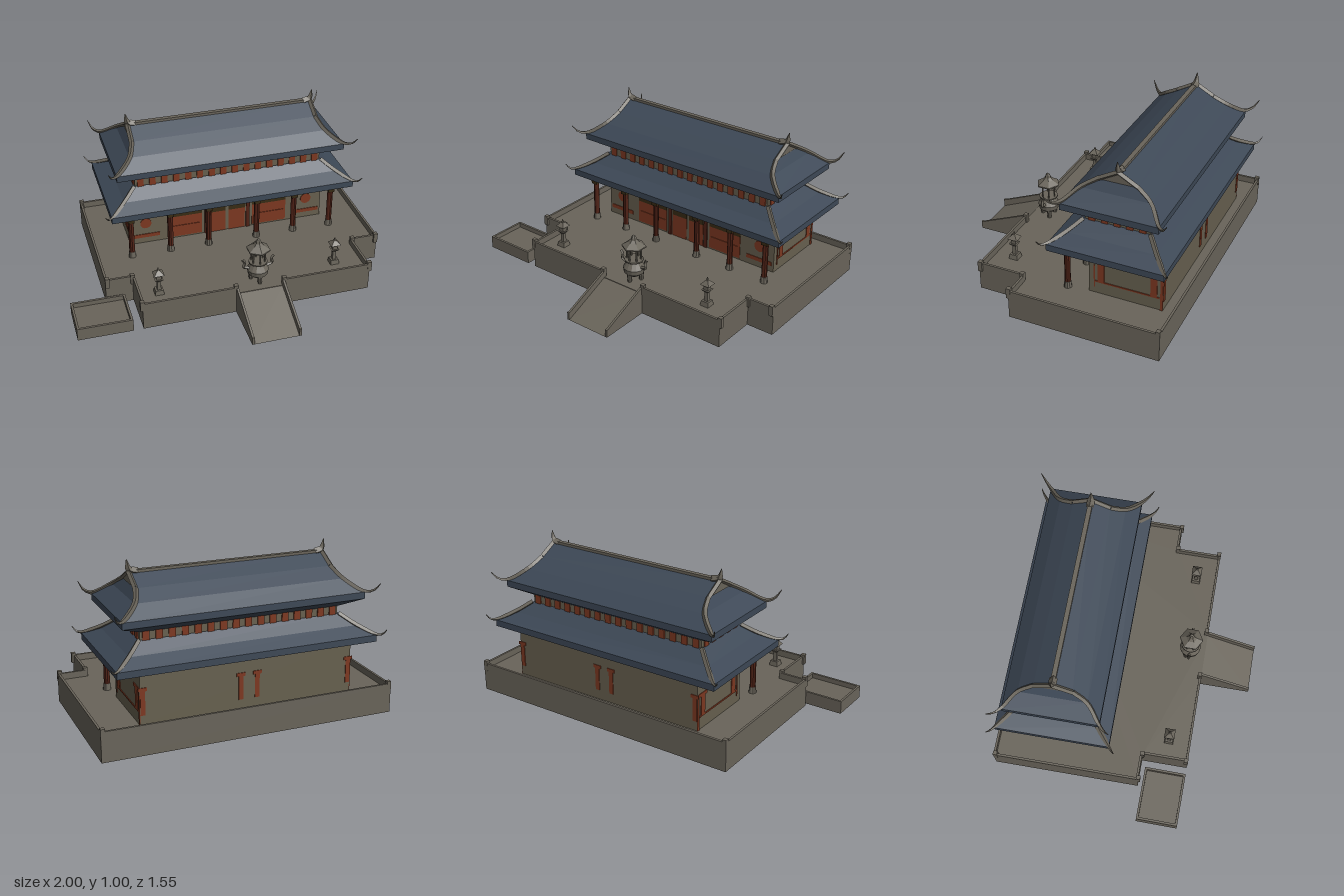
import * as THREE from 'three';

const mat = (name, color, side = THREE.FrontSide) =>
  Object.assign(new THREE.MeshStandardMaterial({ color, side, flatShading: true }), { name });
const stone = mat('stone', 0x69645a);
const wallMat = mat('plaster', 0x67604f);
const slate = mat('slate tile', 0x3d4856);
const red = mat('painted red', 0x7d3821);
const darkRed = mat('column red', 0x4f2216);
const brown = mat('dark timber', 0x382b14);

const CX = 0.105, CZ = -0.385; // centre of the hall

function add(parent, name, geo, material, x = 0, y = 0, z = 0) {
  const m = new THREE.Mesh(geo, material);
  m.name = name;
  m.position.set(x, y, z);
  parent.add(m);
  return m;
}
// Box given by its lower and upper limits
function box(parent, name, material, x0, x1, y0, y1, z0, z1) {
  return add(parent, name, new THREE.BoxGeometry(x1 - x0, y1 - y0, z1 - z0), material,
    (x0 + x1) / 2, (y0 + y1) / 2, (z0 + z1) / 2);
}
// Flat-sided skin through rectangular rings [halfX, y, halfZ], bottom to top
function ringLoft(rings) {
  const pos = [], S = [[1, 1], [1, -1], [-1, -1], [-1, 1]];
  const p = (r, k) => [r[0] * S[k % 4][0], r[1], r[2] * S[k % 4][1]];
  for (let i = 0; i < rings.length - 1; i++) for (let k = 0; k < 4; k++) {
    const a = p(rings[i], k), b = p(rings[i], k + 1), c = p(rings[i + 1], k + 1), d = p(rings[i + 1], k);
    pos.push(...a, ...b, ...c, ...a, ...c, ...d);
  }
  const g = new THREE.BufferGeometry();
  g.setAttribute('position', new THREE.Float32BufferAttribute(pos, 3));
  g.computeVertexNormals();
  return g;
}
// Square bar along a curve, narrowing towards its end after the fraction "from"
function taperBar(points, r0, r1, from = 0, n = 14) {
  const curve = new THREE.CatmullRomCurve3(points.map(q => new THREE.Vector3(...q)));
  const g = new THREE.TubeGeometry(curve, n, r0, 4);
  const P = g.attributes.position, v = new THREE.Vector3();
  for (let i = 0; i < P.count; i++) {
    const t = Math.floor(i / 5) / n, c = curve.getPointAt(t);
    const s = 1 + (r1 / r0 - 1) * Math.max(0, (t - from) / (1 - from));
    v.fromBufferAttribute(P, i).sub(c).multiplyScalar(s).add(c);
    P.setXYZ(i, v.x, v.y, v.z);
  }
  return g;
}

function buildTerrace(g) {
  const outline = [[-0.778, -0.761], [0.997, -0.761], [0.997, 0.16], [0.826, 0.16], [0.826, 0.448],
    [0.27, 0.448], [-0.035, 0.448], [-0.61, 0.448], [-0.61, 0.16], [-0.778, 0.16]];
  const shape = new THREE.Shape(outline.map(([x, z]) => new THREE.Vector2(x, -z)));
  const floor = add(g, 'terraceFloor', new THREE.ExtrudeGeometry(shape, { depth: 0.01, bevelEnabled: false }), stone, 0, 0.13, 0);
  floor.rotation.x = -Math.PI / 2;
  // Retaining walls rising into a low parapet, open at the ramp
  const T = 0.014;
  outline.forEach(([x, z], i) => {
    const [x2, z2] = outline[(i + 1) % outline.length];
    const dx = Math.sign(x2 - x), dz = Math.sign(z2 - z), nx = -dz * T, nz = dx * T;
    box(g, 'terraceWall', stone, Math.min(x, x2, x + nx), Math.max(x, x2, x + nx), 0, i === 5 ? 0.14 : 0.18,
      Math.min(z, z2, z + nz), Math.max(z, z2, z + nz));
    const px = Math.min(Math.max(x, -0.766), 0.985), pz = Math.min(Math.max(z, -0.749), 0.437);
    box(g, 'parapetPost', stone, px - 0.013, px + 0.013, 0.13, 0.195, pz - 0.013, pz + 0.013);
  });
  // Ramp with cheek walls
  const prism = (name, pts, x0, x1) => {
    const s = new THREE.Shape(pts.map(([z, y]) => new THREE.Vector2(-z, y)));
    const m = add(g, name, new THREE.ExtrudeGeometry(s, { depth: x1 - x0, bevelEnabled: false }), stone, x0, 0, 0);
    m.rotation.y = Math.PI / 2;
  };
  prism('ramp', [[0.44, 0], [0.768, 0], [0.44, 0.14]], -0.03, 0.265);
  for (const x of [-0.035, 0.256])
    prism('rampCheek', [[0.44, 0], [0.768, 0], [0.768, 0.05], [0.755, 0.05], [0.44, 0.182]], x, x + 0.014);
}

function buildBasin(g) {
  const [x0, x1, z0, z1] = [-1, -0.665, 0.195, 0.455], t = 0.014;
  for (const x of [x0, x1 - t]) box(g, 'basinSide', stone, x, x + t, 0, 0.08, z0, z1);
  for (const z of [z0, z1 - t]) box(g, 'basinEnd', stone, x0, x1, 0, 0.08, z, z + t);
  box(g, 'basinFloor', stone, x0, x1, 0.04, 0.05, z0, z1);
}

function buildHall(g) {
  const hx = 0.645, zf = -0.23, zb = -0.68;
  box(g, 'hallWalls', wallMat, CX - hx, CX + hx, 0.14, 0.46, zb, zf);
  // Porch columns on stone feet, with timber heads
  for (const s of [-1, 1]) for (const o of [0.16, 0.41, 0.66]) {
    const x = CX + s * o;
    add(g, 'porchColumn', new THREE.CylinderGeometry(0.018, 0.018, 0.31, 10), darkRed, x, 0.3, -0.102);
    add(g, 'columnFoot', new THREE.CylinderGeometry(0.02, 0.024, 0.04, 10), stone, x, 0.16, -0.102);
    box(g, 'columnHead', brown, x - 0.02, x + 0.02, 0.4, 0.455, -0.125, -0.079);
  }
  // Front screens, doors and round windows
  const F = zf, E = 0.004;
  for (const s of [-1, 1]) {
    const c = CX + s * 0.285;
    box(g, 'screenPanel', red, c - 0.115, c + 0.115, 0.15, 0.3, F, F + E);
    box(g, 'screenLattice', brown, c - 0.115, c + 0.115, 0.3, 0.365, F, F + E);
    box(g, 'screenBorder', red, c - 0.1, c + 0.1, 0.225, 0.232, F + E, F + 2 * E);
    const w = add(g, 'roundWindow', new THREE.CylinderGeometry(0.036, 0.036, E, 20), red, CX + s * 0.54, 0.285, F + E / 2);
    w.rotation.x = Math.PI / 2;
    box(g, 'wallSkirting', red, CX + s * 0.54 - 0.09, CX + s * 0.54 + 0.09, 0.18, 0.205, F, F + E);
    box(g, 'doorLeaf', red, CX + s * 0.065 - 0.055, CX + s * 0.065 + 0.055, 0.14, 0.29, F, F + E);
    box(g, 'doorLattice', brown, CX + s * 0.065 - 0.055, CX + s * 0.065 + 0.055, 0.29, 0.36, F, F + E);
    box(g, 'doorPost', darkRed, CX + s * 0.14 - 0.012, CX + s * 0.14 + 0.012, 0.14, 0.43, F, F + 0.009);
  }
  // Side wall posts with capitals and rails
  for (const s of [-1, 1]) {
    const a = CX + s * hx, b = a + s * E, lo = Math.min(a, b), hi = Math.max(a, b);
    for (const z of [-0.305, -0.625]) {
      box(g, 'sidePost', red, lo, hi, 0.22, 0.34, z - 0.02, z + 0.02);
      box(g, 'sideCapital', red, lo, hi, 0.34, 0.36, z - 0.043, z + 0.043);
    }
    box(g, 'sideRail', red, lo, hi, 0.215, 0.224, -0.66, -0.265);
    box(g, 'sideStile', red, lo, hi, 0.18, 0.33, -0.268, -0.261);
    box(g, 'sideCornerPost', red, lo, hi, 0.14, 0.34, -0.68, -0.664);
  }
  // Back wall posts
  for (const o of [-0.63, -0.05, 0.05, 0.63]) {
    box(g, 'backPost', red, CX + o - 0.014, CX + o + 0.014, 0.2, 0.34, zb - E, zb);
    box(g, 'backCapital', red, CX + o - 0.026, CX + o + 0.026, 0.34, 0.36, zb - E, zb);
  }
  // Upper storey with bracket bands
  const ux = 0.605, uz = 0.195;
  box(g, 'upperWalls', wallMat, CX - ux, CX + ux, 0.57, 0.66, CZ - uz, CZ + uz);
  for (const s of [-1, 1]) {
    for (let i = 0; i < 16; i++) {
      const x = CX - 0.57 + i * 0.076;
      box(g, 'upperBracket', red, x - 0.02, x + 0.02, 0.59, 0.646, CZ + s * (uz + 0.003) - 0.004, CZ + s * (uz + 0.003) + 0.004);
    }
    for (let i = 0; i < 5; i++) {
      const z = CZ - 0.152 + i * 0.076;
      box(g, 'upperSideBracket', red, CX + s * (ux + 0.003) - 0.004, CX + s * (ux + 0.003) + 0.004, 0.59, 0.646, z - 0.02, z + 0.02);
    }
  }
}

function buildRoofs(g) {
  const roof = new THREE.Group();
  roof.name = 'roofs';
  roof.position.set(CX, 0, CZ);
  g.add(roof);
  add(roof, 'lowerRoof', ringLoft([[0.6, 0.44, 0.19], [0.785, 0.448, 0.35], [0.785, 0.488, 0.35],
    [0.69, 0.535, 0.268], [0.612, 0.595, 0.2], [0.58, 0.6, 0.17]]), slate);
  add(roof, 'upperRoof', ringLoft([[0.605, 0.642, 0.195], [0.73, 0.698, 0.29], [0.73, 0.738, 0.29],
    [0.63, 0.808, 0.205], [0.595, 0.865, 0.115], [0.595, 0.93, 0]]), slate);
  box(roof, 'mainRidge', stone, -0.6, 0.6, 0.91, 0.938, -0.014, 0.014);
  for (const sx of [-1, 1]) {
    // Ridge horn and gable board
    add(roof, 'ridgeHorn', taperBar([[0.55 * sx, 0.925, 0], [0.592 * sx, 0.94, 0], [0.607 * sx, 1, 0]], 0.024, 0.002, 0.3), stone);
    const tri = new THREE.Shape([[-0.112, 0.866], [0.112, 0.866], [0, 0.932]].map(p => new THREE.Vector2(...p)));
    const board = add(roof, 'gableBoard', new THREE.ExtrudeGeometry(tri, { depth: 0.008, bevelEnabled: false }), stone,
      sx > 0 ? 0.593 : -0.601, 0, 0);
    board.rotation.y = Math.PI / 2;
    for (const sz of [-1, 1]) {
      // Hip ridges sweeping out into upturned corners
      add(roof, 'gableRidge', taperBar([[0.596 * sx, 0.93, 0], [0.597 * sx, 0.867, 0.115 * sz]], 0.015, 0.015, 0, 2), stone);
      add(roof, 'upperHip', taperBar([[0.595, 0.867, 0.115], [0.63, 0.811, 0.205], [0.725, 0.745, 0.287],
        [0.765, 0.755, 0.326], [0.79, 0.8, 0.358]].map(([x, y, z]) => [x * sx, y, z * sz]), 0.015, 0.002, 0.6), stone);
      add(roof, 'lowerHip', taperBar([[0.612, 0.598, 0.2], [0.69, 0.54, 0.268], [0.775, 0.495, 0.343],
        [0.808, 0.495, 0.37], [0.83, 0.525, 0.387]].map(([x, y, z]) => [x * sx, y, z * sz]), 0.015, 0.002, 0.6), stone);
    }
  }
}

function buildBurner(g) {
  const b = new THREE.Group();
  b.name = 'incenseBurner';
  b.position.set(0.13, 0, 0.347);
  g.add(b);
  const lathe = (pts, n) => new THREE.LatheGeometry(pts.map(p => new THREE.Vector2(...p)), n);
  add(b, 'bowl', lathe([[0, 0.17], [0.035, 0.172], [0.062, 0.195], [0.067, 0.225], [0.05, 0.252],
    [0.044, 0.262], [0.058, 0.272], [0.058, 0.28], [0, 0.28]], 14), stone);
  add(b, 'canopy', lathe([[0, 0.365], [0.074, 0.362], [0.074, 0.37], [0.035, 0.395], [0.02, 0.41],
    [0.016, 0.425], [0.008, 0.437], [0, 0.442]], 6), stone);
  for (let i = 0; i < 6; i++) {
    const a = i * Math.PI / 3;
    add(b, 'canopyPost', new THREE.CylinderGeometry(0.005, 0.005, 0.09, 6), stone, 0.042 * Math.sin(a), 0.322, 0.042 * Math.cos(a));
  }
  for (let i = 0; i < 3; i++) {
    const a = i * Math.PI * 2 / 3;
    add(b, 'leg', new THREE.CylinderGeometry(0.017, 0.012, 0.06, 8), stone, 0.043 * Math.sin(a), 0.168, 0.043 * Math.cos(a));
  }
  for (const s of [-1, 1])
    add(b, 'handle', taperBar([[0.055 * s, 0.235, 0], [0.09 * s, 0.25, 0], [0.085 * s, 0.28, 0], [0.1 * s, 0.305, 0]], 0.011, 0.009), stone);
}

function buildLantern(g, x) {
  const l = new THREE.Group();
  l.name = 'stoneLantern';
  l.position.set(x, 0, 0.31);
  g.add(l);
  const part = (name, r0, r1, y0, y1) => {
    const m = add(l, name, new THREE.CylinderGeometry(r1, r0, y1 - y0, 4), stone, 0, (y0 + y1) / 2, 0);
    m.rotation.y = Math.PI / 4;
  };
  part('lanternFoot', 0.04, 0.034, 0.14, 0.17);
  part('lanternStem', 0.018, 0.014, 0.17, 0.23);
  part('lanternTray', 0.02, 0.036, 0.23, 0.245);
  part('lanternChamber', 0.022, 0.022, 0.245, 0.28);
  part('lanternRoof', 0.045, 0.012, 0.28, 0.305);
  part('lanternFinial', 0.01, 0.002, 0.305, 0.325);
}

export function createModel() {
  const model = new THREE.Group();
  model.name = 'templeHall';
  const site = new THREE.Group(); // turned very slightly on the plot
  site.name = 'site';
  site.rotation.y = 0.009;
  model.add(site);
  buildTerrace(site);
  buildHall(site);
  buildRoofs(site);
  buildBurner(site);
  for (const x of [-0.48, 0.64]) buildLantern(site, x);
  buildBasin(model);
  return model;
}
